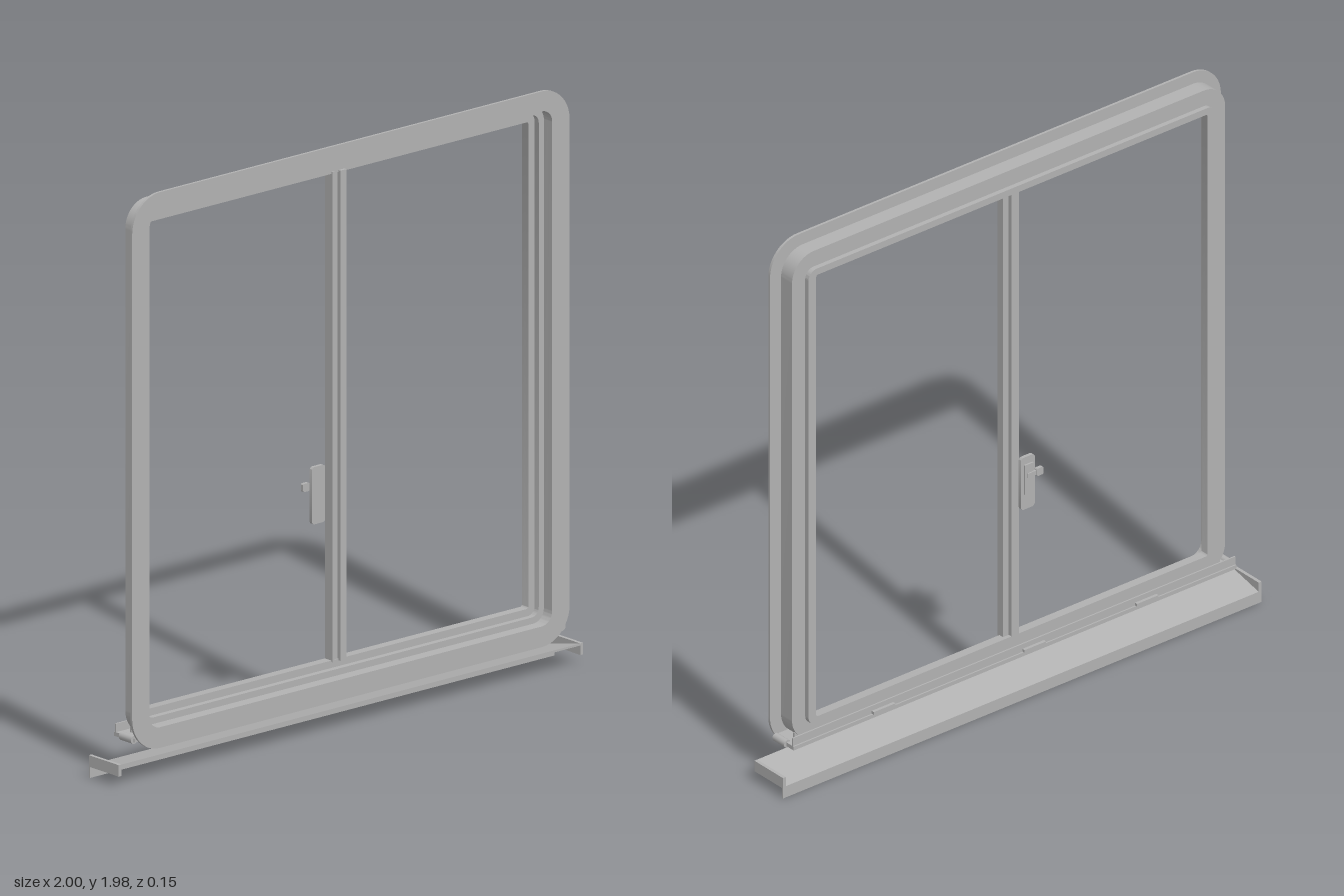
import * as THREE from 'three';
import { toCreasedNormals } from 'three/addons/utils/BufferGeometryUtils.js';

const metal = new THREE.MeshStandardMaterial({ color: 0xb2b2b2 });
metal.name = 'grey metal';

// Rounded rectangle path: half width, bottom, top, corner radius
function roundedRect(path, w, y0, y1, r) {
  path.moveTo(-w + r, y0);
  path.lineTo(w - r, y0);
  path.absarc(w - r, y0 + r, r, -Math.PI / 2, 0);
  path.absarc(w - r, y1 - r, r, 0, Math.PI / 2);
  path.absarc(-w + r, y1 - r, r, Math.PI / 2, Math.PI);
  path.absarc(-w + r, y0 + r, r, Math.PI, Math.PI * 1.5);
  return path;
}

function extrude(shape, depth) {
  const g = new THREE.ExtrudeGeometry(shape, { depth, bevelEnabled: false, curveSegments: 10 });
  return toCreasedNormals(g, 0.6);
}

export function createModel() {
  const model = new THREE.Group();
  model.name = 'slidingWindow';

  const add = (name, geometry, x = 0, y = 0, z = 0, parent = model) => {
    const mesh = new THREE.Mesh(geometry, metal);
    mesh.name = name;
    mesh.position.set(x, y, z);
    parent.add(mesh);
    return mesh;
  };
  const box = (name, x0, x1, y0, y1, z0, z1, parent) =>
    add(name, new THREE.BoxGeometry(x1 - x0, y1 - y0, z1 - z0),
      (x0 + x1) / 2, (y0 + y1) / 2, (z0 + z1) / 2, parent);
  const ring = (name, outer, inner, z0, z1) => {
    const shape = roundedRect(new THREE.Shape(), ...outer);
    shape.holes.push(roundedRect(new THREE.Path(), ...inner));
    return add(name, extrude(shape, z1 - z0), 0, 0, z0);
  };

  // Frame, stepped from the wide front flange to the back rim
  const lip = [0.867, 0.168, 1.912, 0.045];
  const step = [0.845, 0.19, 1.89, 0.03];
  const opening = [0.818, 0.215, 1.863, 0.008];
  ring('frontFlange', [0.942, 0.098, 1.98, 0.12], lip, 0.064, 0.073);
  ring('frameNeck', [0.885, 0.152, 1.928, 0.07], lip, 0.053, 0.064);
  ring('frameBody', [0.905, 0.135, 1.945, 0.09], lip, -0.003, 0.053);
  ring('innerStep', [0.868, 0.167, 1.913, 0.045], step, 0.012, 0.032);
  ring('sashRim', [0.868, 0.167, 1.913, 0.045], opening, -0.003, 0.012);
  ring('backRim', [0.85, 0.188, 1.887, 0.035], opening, -0.02, -0.003);

  // Overlapping centre stiles
  box('rearStile', -0.03, 0.002, 0.21, 1.87, -0.02, 0.008);
  box('frontStile', 0, 0.026, 0.21, 1.87, -0.006, 0.022);
  box('stileFin', -0.03, -0.022, 0.21, 1.87, 0.008, 0.018);

  // Screws on both sides of the frame
  const screw = new THREE.CylinderGeometry(0.006, 0.006, 0.008, 12).rotateZ(Math.PI / 2);
  for (const side of [-1, 1])
    for (const y of [0.23, 1.04, 1.84]) add('sideScrew', screw, side * 0.887, y, 0.058);

  // Latch on the rear stile
  const latch = new THREE.Group();
  latch.name = 'latch';
  model.add(latch);
  const plate = roundedRect(new THREE.Shape(), 0.029, -0.097, 0.097, 0.012);
  add('latchPlate', extrude(plate, 0.012), -0.057, 0.775, -0.032, latch);
  box('latchBoss', -0.075, -0.04, 0.735, 0.845, -0.038, -0.031, latch);
  box('latchLever', -0.1, -0.05, 0.797, 0.813, -0.042, -0.034, latch);
  const knob = roundedRect(new THREE.Shape(), 0.014, -0.014, 0.014, 0.006);
  add('latchKnob', extrude(knob, 0.012), -0.099, 0.805, -0.044, latch);

  // Drain rail under the frame
  box('drainRail', -0.925, 0.925, 0.135, 0.149, -0.036, 0.064);
  box('drainUpstand', -0.925, 0.925, 0.149, 0.178, -0.031, -0.026);
  box('drainRib', -0.89, 0.89, 0.149, 0.17, 0.004, 0.01);
  for (const x of [-0.55, -0.08, 0.55])
    box('drainCover', x - 0.045, x + 0.045, 0.15, 0.16, -0.042, -0.031);
  const ear = new THREE.CylinderGeometry(0.014, 0.014, 0.06, 16).rotateX(Math.PI / 2);
  for (const side of [-1, 1]) add('railEnd', ear, side * 0.922, 0.143, 0.03);

  // Sloping sill with a hanging drip edge, cut from one cross-section
  const profile = new THREE.Shape([
    [0.073, 0.076], [-0.073, 0.042], [-0.073, 0], [-0.067, 0], [-0.067, 0.036], [0.073, 0.069],
  ].map(([z, y]) => new THREE.Vector2(-z, y)));
  const sill = extrude(profile, 1.98).rotateY(Math.PI / 2);
  add('sill', sill, -0.99, 0, 0);
  for (const side of [-1, 1]) {
    const end = box('sillEnd', -0.006, 0.006, 0.037, 0.076, -0.073, 0.073);
    end.position.x = side * 0.994;
    const drip = box('sillEndDrip', -0.006, 0.006, 0, 0.037, -0.073, -0.067);
    drip.position.x = side * 0.994;
  }
  return model;
}
